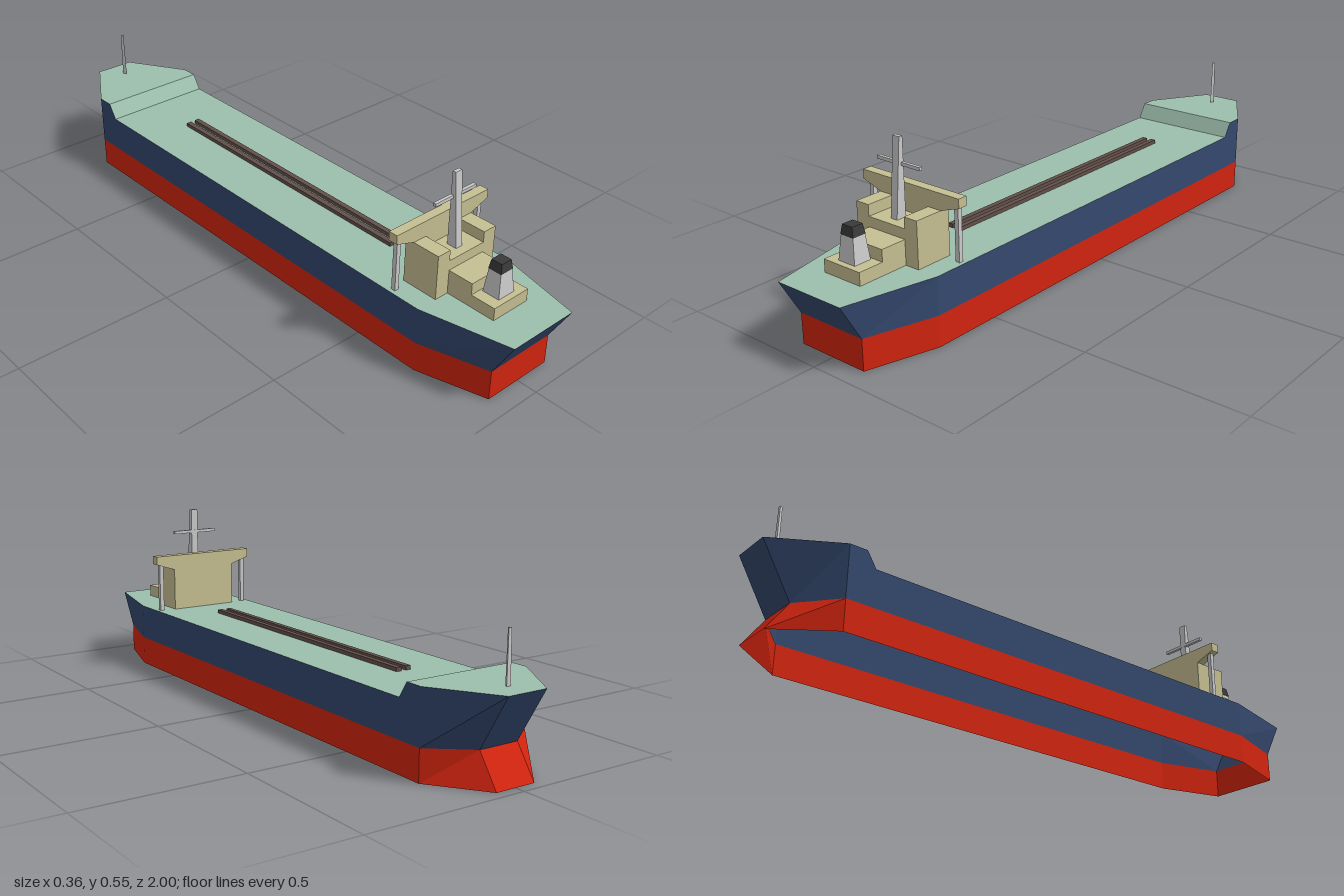
import * as THREE from 'three';

const mat = (color) => new THREE.MeshStandardMaterial({ color, flatShading: true, side: THREE.DoubleSide });
const GREEN = mat(0x9dbfad), BLUE = mat(0x34486e), RED = mat(0xd2240f);
const TAN = mat(0xc6bf92), GREY = mat(0xcccccc), DARK = mat(0x3a3a3a), BROWN = mat(0x63504a);

const DECK = 0.208, WATER = 0.094;

function add(group, name, geometry, material) {
  const mesh = new THREE.Mesh(geometry, material);
  mesh.name = name;
  group.add(mesh);
  return mesh;
}

// Box given by its limits on each axis
function box(group, name, material, x0, x1, y0, y1, z0, z1) {
  const g = new THREE.BoxGeometry(x1 - x0, y1 - y0, z1 - z0);
  g.translate((x0 + x1) / 2, (y0 + y1) / 2, (z0 + z1) / 2);
  return add(group, name, g, material);
}

// Flat-faced surface from four-cornered faces
function quads(faces) {
  const pos = [];
  for (const [a, b, c, d] of faces) pos.push(...a, ...b, ...c, ...a, ...c, ...d);
  const g = new THREE.BufferGeometry();
  g.setAttribute('position', new THREE.Float32BufferAttribute(pos, 3));
  g.computeVertexNormals();
  return g;
}

const mirror = ([x, y, z]) => [-x, y, z];
const closeRing = (half) => [...half, ...half.map(mirror).reverse()];

// Band of faces between two closed rings
function band(lower, upper) {
  return quads(lower.map((p, i) => {
    const j = (i + 1) % lower.length;
    return [p, lower[j], upper[j], upper[i]];
  }));
}

// Four-sided tapered solid between two rectangles [x0, x1, z0, z1]
function taper(y0, y1, bottom, top) {
  const ring = ([x0, x1, z0, z1], y) => [[x0, y, z1], [x1, y, z1], [x1, y, z0], [x0, y, z0]];
  const a = ring(bottom, y0), b = ring(top, y1);
  const faces = a.map((p, i) => [p, a[(i + 1) % 4], b[(i + 1) % 4], b[i]]);
  return quads([...faces, b, [...a].reverse()]);
}

export function createModel() {
  const ship = new THREE.Group();
  ship.name = 'cargoShip';

  // Hull: half outline of the deck edge, stern to bow
  const edge = [
    [0.118, DECK, 1], [0.182, DECK, 0.72], [0.182, DECK, -0.725],
    [0.182, 0.255, -0.755], [0.182, 0.255, -0.81], [0.065, 0.255, -1],
  ];
  const level = (y, sternZ, bowZ) => edge.map(([x, , z], i) =>
    [x, y, i === 0 ? sternZ : i === edge.length - 1 ? bowZ : z]);
  const top = closeRing(edge);
  const water = closeRing(level(WATER, 0.935, -0.905));
  const keel = closeRing(level(0, 0.935, -0.97));
  add(ship, 'upperHull', band(water, top), BLUE);
  add(ship, 'lowerHull', band(keel, water), RED);

  // Deck with raised forecastle
  add(ship, 'deck', quads(edge.slice(1).map((p, i) =>
    [mirror(edge[i]), edge[i], p, mirror(p)])), GREEN);

  // Deck pipes and bridge wing posts
  for (const s of [-1, 1]) {
    const side = s > 0 ? 'left' : 'right';
    box(ship, side + 'DeckPipe', BROWN, s * 0.0165 - 0.0085, s * 0.0165 + 0.0085, DECK, 0.22, -0.52, 0.46);
    box(ship, side + 'WingPost', GREY, s * 0.162 - 0.007, s * 0.162 + 0.007, DECK, 0.373, 0.608, 0.622);
  }

  // Bridge wall with overhanging wings
  const half = [[0.115, DECK], [0.115, 0.348], [0.182, 0.37], [0.182, 0.398]];
  const outline = [...half, ...half.map(([x, y]) => [-x, y]).reverse()];
  const bridge = new THREE.ExtrudeGeometry(
    new THREE.Shape(outline.map(([x, y]) => new THREE.Vector2(x, y))),
    { depth: 0.03, bevelEnabled: false });
  bridge.translate(0, 0, 0.602);
  add(ship, 'bridge', bridge, TAN);

  // Deckhouse stepping down towards the stern
  const house = new THREE.Group();
  house.name = 'deckhouse';
  ship.add(house);
  box(house, 'leftTower', TAN, 0.068, 0.115, DECK, 0.348, 0.632, 0.722);
  box(house, 'rightTower', TAN, -0.115, -0.068, DECK, 0.348, 0.632, 0.722);
  box(house, 'middleTower', TAN, -0.068, 0.068, DECK, 0.314, 0.632, 0.722);
  box(house, 'middleTier', TAN, -0.068, 0.068, DECK, 0.283, 0.722, 0.805);
  box(house, 'lowerTier', TAN, -0.068, 0.068, DECK, 0.247, 0.805, 0.886);

  // Funnel with dark cap
  add(ship, 'funnel', taper(0.247, 0.321, [-0.031, 0.031, 0.812, 0.868], [-0.023, 0.023, 0.819, 0.861]), GREY);
  add(ship, 'funnelCap', taper(0.321, 0.35, [-0.024, 0.024, 0.818, 0.862], [-0.019, 0.019, 0.822, 0.858]), DARK);

  // Main mast and its crossbar
  add(ship, 'mainMast', taper(0.314, 0.545, [-0.012, 0.012, 0.661, 0.694], [-0.012, 0.012, 0.661, 0.673]), GREY);
  box(ship, 'mastCrossbar', GREY, -0.08, 0.08, 0.463, 0.473, 0.66, 0.67);

  // Three-sided foremast
  const foremast = new THREE.CylinderGeometry(0.006, 0.008, 0.15, 3);
  foremast.translate(0, 0.33, -0.928);
  add(ship, 'foremast', foremast, GREY);

  return ship;
}
